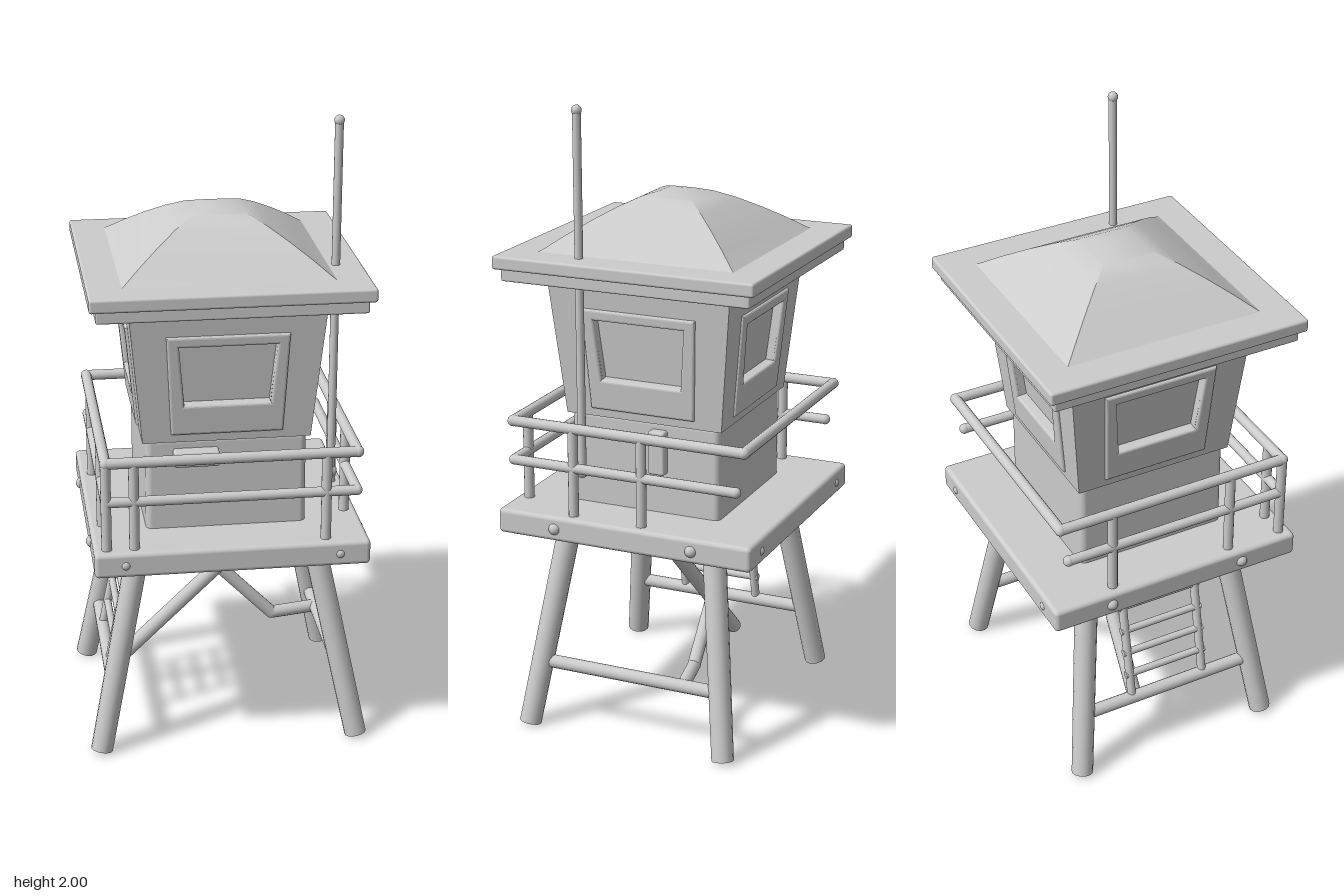
import * as THREE from 'three';
import { toCreasedNormals } from 'three/addons/utils/BufferGeometryUtils.js';
import { RoundedBoxGeometry } from 'three/addons/geometries/RoundedBoxGeometry.js';

const grey = new THREE.MeshStandardMaterial({ color: 0xcccccc });
grey.name = 'lightGrey';

export function createModel() {
  const model = new THREE.Group();
  model.name = 'lifeguardTower';

  const add = (name, geometry, parent = model) => {
    const mesh = new THREE.Mesh(geometry, grey);
    mesh.name = name;
    parent.add(mesh);
    return mesh;
  };

  // Round bar running from a to b
  const bar = (name, a, b, r, r2 = r) => {
    const p = new THREE.Vector3(...a), q = new THREE.Vector3(...b);
    const d = q.clone().sub(p);
    const mesh = add(name, new THREE.CylinderGeometry(r2, r, d.length(), 14));
    mesh.position.copy(p).add(q).multiplyScalar(0.5);
    mesh.quaternion.setFromUnitVectors(new THREE.Vector3(0, 1, 0), d.normalize());
    return mesh;
  };
  const ball = (name, p, r) => add(name, new THREE.SphereGeometry(r, 14, 10)).position.set(...p);
  const box = (name, size, p, r = 0.01) =>
    add(name, new RoundedBoxGeometry(...size, 3, r)).position.set(...p);

  // Splayed legs
  for (const sx of [-1, 1]) for (const sz of [-1, 1]) {
    bar('leg', [sx * 0.41, 0.008, sz * 0.335], [sx * 0.275, 0.67, sz * 0.245], 0.035, 0.037);
  }

  // Side beams between the legs
  for (const sx of [-1, 1]) bar('sideBeam', [sx * 0.366, 0.212, -0.3], [sx * 0.366, 0.212, 0.3], 0.021);

  // Diagonal braces under the deck
  bar('looseBrace', [-0.295, 0.13, -0.08], [0.235, 0.67, -0.03], 0.024);
  bar('bentBraceUpper', [-0.235, 0.67, -0.13], [0.21, 0.21, -0.15], 0.021);
  ball('bentBraceElbow', [0.21, 0.21, -0.15], 0.021);
  bar('bentBraceLower', [0.21, 0.21, -0.15], [0.366, 0.21, -0.18], 0.021);

  // Ladder leaning along the right side
  const ladderX = (y) => -0.41 + 0.205 * y;
  for (const z of [-0.13, 0.13]) {
    bar('ladderRail', [ladderX(0.21), 0.21, z], [ladderX(0.56), 0.56, z], 0.014);
  }
  for (const y of [0.3, 0.38, 0.46, 0.545]) {
    bar('ladderRung', [ladderX(y), y, -0.145], [ladderX(y), y, 0.145], 0.012);
  }

  // Deck with bolts
  box('deck', [0.85, 0.08, 0.85], [0, 0.69, 0], 0.014);
  for (const s of [-1, 1]) for (const t of [-1, 1]) {
    ball('deckBolt', [s * 0.418, 0.69, t * 0.23], 0.02);
    ball('deckBolt', [t * 0.33, 0.69, s * 0.416], 0.016);
  }

  // Railing: closed top rail, middle rail on three sides
  const e = 0.385;
  const corners = [[-e, e], [e, e], [e, -e], [-e, -e]];
  corners.forEach(([x, z], i) => {
    const [x2, z2] = corners[(i + 1) % 4];
    bar('topRail', [x, 1.012, z], [x2, 1.012, z2], 0.017);
    ball('railCorner', [x, 1.012, z], 0.018);
  });
  bar('middleRail', [-e, 0.885, e], [e, 0.885, e], 0.016);
  for (const sx of [-1, 1]) {
    bar('middleRail', [sx * e, 0.885, e], [sx * e, 0.885, -0.36], 0.016);
    ball('railEnd', [sx * e, 0.885, -0.36], 0.017);
    ball('railCorner', [sx * e, 0.885, e], 0.016);
  }
  const posts = [[-0.3, e], [0.29, e], [-e, e], [-e, 0.2], [-e, -0.21], [e, 0.18], [e, -0.05]];
  for (const [x, z] of posts) bar('railPost', [x, 0.72, z], [x, 1.012, z], 0.016);

  // Cabin base and core
  box('cabinBase', [0.5, 0.32, 0.5], [0, 0.87, 0], 0.02);
  const squareLathe = (pts) => {
    const g = new THREE.LatheGeometry(pts.map(([h, y]) => new THREE.Vector2(h * Math.SQRT2, y)), 4);
    g.rotateY(Math.PI / 4);
    return g;
  };
  const y0 = 1.02, y1 = 1.47, h0 = 0.26, h1 = 0.303;
  add('cabinCore', toCreasedNormals(squareLathe([[0, y0], [h0 - 0.025, y0], [h1 - 0.025, y1], [0, y1]]), 0.5));

  // Leaning cabin walls with a recessed window and raised frame
  const trapezoid = (Type, bottomHalf, bottomY, topHalf, topY) => {
    const s = new Type();
    s.moveTo(-bottomHalf, bottomY);
    s.lineTo(bottomHalf, bottomY);
    s.lineTo(topHalf, topY);
    s.lineTo(-topHalf, topY);
    s.closePath();
    return s;
  };
  const lean = Math.atan((h1 - h0) / (y1 - y0));
  for (let i = 0; i < 4; i++) {
    const side = new THREE.Group();
    side.name = 'cabinSide';
    side.rotation.y = i * Math.PI / 2;
    const tilted = new THREE.Group();
    tilted.name = 'leaningWall';
    tilted.position.set(0, y0, h0);
    tilted.rotation.x = lean;
    side.add(tilted);
    model.add(side);

    const wall = trapezoid(THREE.Shape, h0, 0, h1, (y1 - y0) / Math.cos(lean));
    wall.holes.push(trapezoid(THREE.Path, 0.132, 0.125, 0.15, 0.318));
    const wallGeo = new THREE.ExtrudeGeometry(wall, { depth: 0.03, bevelEnabled: false });
    add('wall', wallGeo.translate(0, 0, -0.03), tilted);

    const frame = trapezoid(THREE.Shape, 0.165, 0.035, 0.18, 0.345);
    frame.holes.push(trapezoid(THREE.Path, 0.14, 0.117, 0.158, 0.326));
    add('windowFrame', new THREE.ExtrudeGeometry(frame, {
      depth: 0.002, bevelThickness: 0.007, bevelSize: 0.008, bevelSegments: 3,
    }), tilted);
  }

  // Small fittings on the cabin walls
  box('frontBox', [0.14, 0.05, 0.05], [-0.095, 0.97, 0.265], 0.008);
  box('sideBox', [0.04, 0.14, 0.055], [0.26, 0.93, -0.05], 0.008);

  // Roof: two-step eaves with a curved hipped top
  box('eavesLower', [0.81, 0.05, 0.81], [0, 1.483, 0], 0.006);
  box('eavesUpper', [0.85, 0.042, 0.85], [0, 1.518, 0], 0.008);
  const dome = squareLathe([
    [0.335, 1.53], [0.31, 1.545], [0.26, 1.582], [0.2, 1.622], [0.14, 1.658],
    [0.085, 1.685], [0.04, 1.699], [0, 1.702],
  ]);
  add('roofTop', toCreasedNormals(dome, 0.6));

  // Mast
  bar('mast', [0.342, 0.85, 0.17], [0.346, 1.985, 0.17], 0.013);
  ball('mastFoot', [0.342, 0.862, 0.17], 0.02);
  ball('mastTip', [0.346, 1.984, 0.17], 0.016);

  return model;
}
